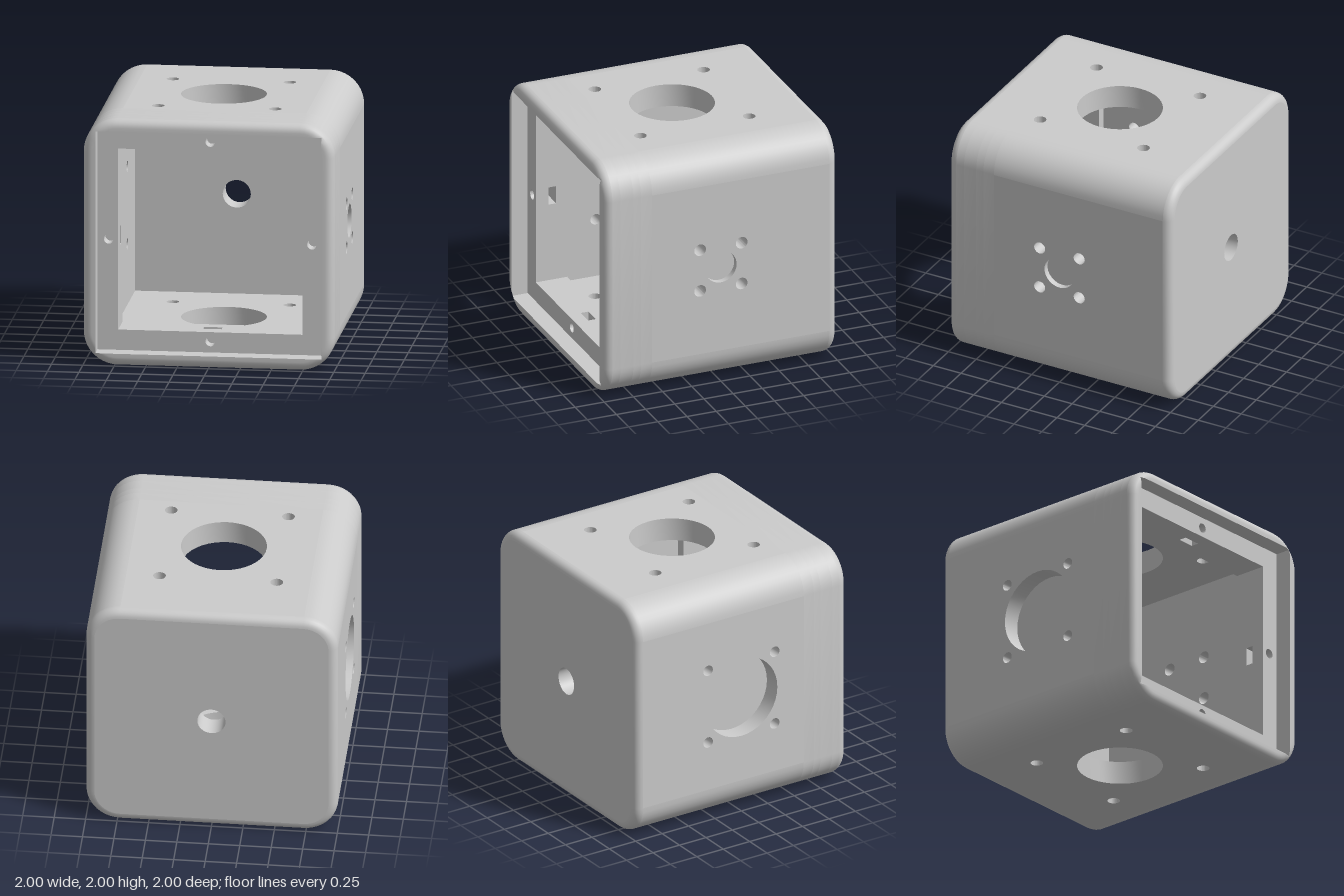
import * as THREE from 'three';
import { toCreasedNormals } from 'three/addons/utils/BufferGeometryUtils.js';

const CORNER = 0.27;   // corner radius of the section
const FILLET = 0.07;   // rounding of the front and back edges
const CAVITY = 0.81;   // half width of the inner space
const OPENING = 0.735; // half width of the front opening
const RECESS = 0.9;    // half width of the lid recess
const FLAT = 1 - CORNER, SEG = 10;
const RIM_BACK = 0.59, RIM_FRONT = 0.86, EDGE = 1 - FILLET;

const material = new THREE.MeshStandardMaterial({ color: 0xcccccc });

const arc = (r, start) => Array.from({ length: SEG + 1 }, (_, i) => {
  const a = start + (i / SEG) * Math.PI / 2;
  return new THREE.Vector2(Math.cos(a) * r, Math.sin(a) * r);
});

// Rounded square section, moved inwards by inset
function outline(inset = 0) {
  const pts = [];
  [[1, 1], [-1, 1], [-1, -1], [1, -1]].forEach(([sx, sy], q) =>
    arc(CORNER - inset, q * Math.PI / 2).forEach(p =>
      pts.push(p.add(new THREE.Vector2(sx * FLAT, sy * FLAT)))));
  return pts;
}

const circle = (x, y, r) => new THREE.Path().absarc(x, y, r, 0, Math.PI * 2, true);
const square = s => new THREE.Path([[-s, -s], [-s, s], [s, s], [s, -s]].map(p => new THREE.Vector2(...p)));
const boltHoles = (d, r) => [[-d, -d], [-d, d], [d, d], [d, -d]].map(([x, y]) => circle(x, y, r));

// Slab of a section with holes, from z0 to z1
function slab(points, holes, z0, z1) {
  const shape = new THREE.Shape(points);
  shape.holes.push(...holes);
  return new THREE.ExtrudeGeometry(shape, { depth: z1 - z0, bevelEnabled: false, curveSegments: 20 })
    .translate(0, 0, z0);
}

// Skin through closed rings of equal point count
function loft(rings) {
  const n = rings[0].length, index = [];
  for (let i = 0; i < rings.length - 1; i++) {
    for (let j = 0; j < n; j++) {
      const a = i * n + j, b = i * n + (j + 1) % n;
      index.push(a, b, b + n, a, b + n, a + n);
    }
  }
  const g = new THREE.BufferGeometry().setFromPoints(rings.flat());
  g.setIndex(index);
  return g;
}

// Height of the front edge rounding at a point of the section
function edgeHeight(x, y) {
  const dx = Math.abs(x) - FLAT, dy = Math.abs(y) - FLAT;
  const reach = dx > 0 && dy > 0 ? Math.hypot(dx, dy) : Math.max(dx, dy);
  const k = Math.max(0, reach - (CORNER - FILLET));
  return EDGE + Math.sqrt(Math.max(0, FILLET * FILLET - k * k));
}

export function createModel() {
  const model = new THREE.Group();
  model.name = 'housing';
  model.position.y = 1;

  const add = (name, geometry, turn = 0) => {
    const mesh = new THREE.Mesh(toCreasedNormals(geometry, 0.5), material);
    mesh.name = name;
    mesh.rotation.z = turn;
    model.add(mesh);
  };

  // Side walls: built as the top wall, then turned about z
  const wallShape = [[-FLAT, -RIM_BACK], [FLAT, -RIM_BACK], [FLAT, EDGE], [-FLAT, EDGE]]
    .map(p => new THREE.Vector2(...p));
  const wall = (name, turn, holes, from = CAVITY, to = 1) =>
    add(name, slab(wallShape, holes, from, to).rotateX(-Math.PI / 2), turn);

  const largeHoles = [circle(0, 0, 0.34), ...boltHoles(0.466, 0.05)];
  wall('topWall', 0, largeHoles);
  wall('bottomWall', Math.PI, largeHoles);

  // Left and right walls have a blind pocket and through bolt holes
  const pocketWall = (side, turn, radius, depth, bolts) => {
    wall(side + 'WallInner', turn, bolts, CAVITY, 1 - depth);
    wall(side + 'WallOuter', turn, [circle(0, 0, radius), ...bolts], 1 - depth, 1);
  };
  pocketWall('left', -Math.PI / 2, 0.135, 0.05, boltHoles(0.178, 0.05));
  pocketWall('right', Math.PI / 2, 0.34, 0.15, boltHoles(0.315, 0.045));

  // Rounded corner posts
  const post = arc(CORNER, 0).map(p => p.addScalar(FLAT));
  post.push(...[[FLAT, CAVITY], [CAVITY, CAVITY], [CAVITY, FLAT]].map(p => new THREE.Vector2(...p)));
  for (let q = 0; q < 4; q++) add('cornerPost', slab(post, [], -EDGE, RIM_BACK), q * Math.PI / 2);

  // Back wall with its rounded edge
  add('backWall', slab(outline(FILLET), [circle(0, 0, 0.112)], -1, -CAVITY));
  const steps = 6, backRings = [], frontRings = [];
  const onRecess = p => p.clone().multiplyScalar(RECESS / Math.max(Math.abs(p.x), Math.abs(p.y)));
  for (let i = 0; i <= steps; i++) {
    const a = (i / steps) * Math.PI / 2;
    const pts = outline(FILLET * (1 - Math.cos(a)));
    backRings.unshift(pts.map(p => new THREE.Vector3(p.x, p.y, -EDGE - FILLET * Math.sin(a))));
    // The recess corners cut into the front rounding
    frontRings.push(pts.map(p => {
      const inside = Math.max(Math.abs(p.x), Math.abs(p.y)) < RECESS;
      const c = inside ? onRecess(p) : p;
      return new THREE.Vector3(c.x, c.y, inside ? edgeHeight(c.x, c.y) : EDGE + FILLET * Math.sin(a));
    }));
  }
  add('backEdge', loft(backRings));

  // Front lip around the lid recess
  const inner = outline(FILLET).map(onRecess);
  frontRings.push(inner.map(p => new THREE.Vector3(p.x, p.y, edgeHeight(p.x, p.y))));
  frontRings.push(inner.map(p => new THREE.Vector3(p.x, p.y, EDGE)));
  add('frontEdge', loft(frontRings));
  add('frontLip', slab(outline(), [square(RECESS)], RIM_FRONT, EDGE));

  // Inner rim in three layers: back, nut slots, screw holes
  const slotted = [], screws = [];
  for (let q = 0; q < 4; q++) {
    const a = q * Math.PI / 2;
    [[OPENING, -OPENING], [OPENING, -0.075], [0.89, -0.075], [0.89, 0.075], [OPENING, 0.075]]
      .forEach(p => slotted.push(new THREE.Vector2(...p).rotateAround(new THREE.Vector2(), a)));
    screws.push(circle(0.81 * Math.cos(a), 0.81 * Math.sin(a), 0.04));
  }
  add('rimBack', slab(outline(), [square(OPENING)], RIM_BACK, 0.685));
  add('rimNutSlots', slab(outline(), [new THREE.Path(slotted)], 0.685, 0.75));
  add('rimFront', slab(outline(), [square(OPENING), ...screws], 0.75, RIM_FRONT));

  const root = new THREE.Group();
  root.add(model);
  return root;
}
